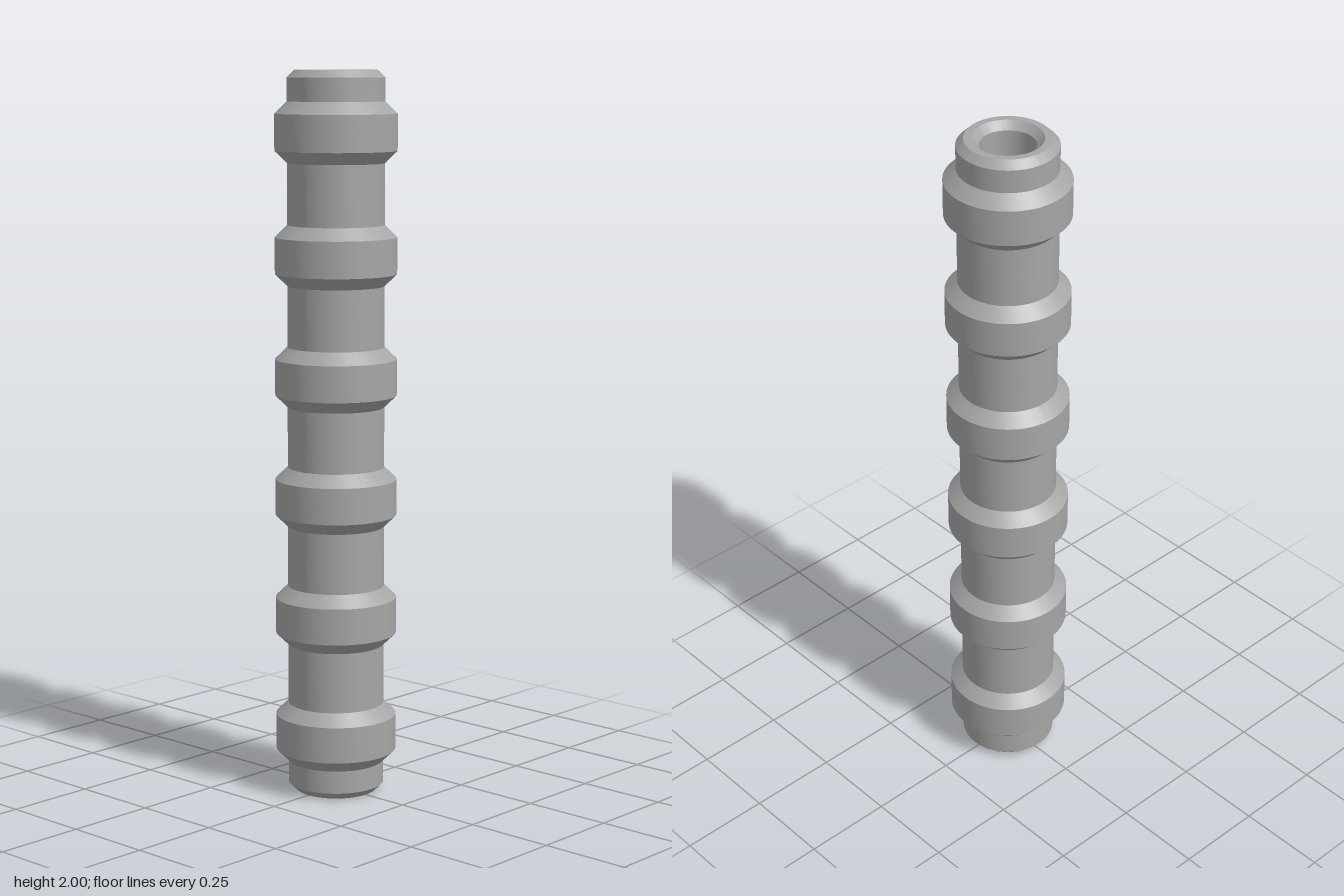
import * as THREE from 'three';
import { toCreasedNormals } from 'three/addons/utils/BufferGeometryUtils.js';

const HEIGHT = 2;
const BODY_R = 0.133;
const RING_R = 0.167;
const BORE_R = 0.0735;
const BEVEL = 0.02;
const RINGS = 6;

// Turned surface with smooth sides and crisp profile corners
function turned(name, profile, material) {
  const points = profile.map(([r, y]) => new THREE.Vector2(r, y));
  const geometry = toCreasedNormals(new THREE.LatheGeometry(points, 96), 0.4);
  const mesh = new THREE.Mesh(geometry, material);
  mesh.name = name;
  return mesh;
}

export function createModel() {
  const group = new THREE.Group();
  group.name = 'ribbedTube';
  const grey = new THREE.MeshStandardMaterial({ color: 0xa6a6a6 });
  grey.name = 'grey';

  // Outer wall, with a bevelled ring at each even step
  const outer = [[BODY_R - BEVEL, 0], [BODY_R, BEVEL]];
  const pitch = HEIGHT / RINGS;
  for (let i = 0; i < RINGS; i++) {
    const y = (i + 0.5) * pitch;
    outer.push(
      [BODY_R, y - 0.083], [RING_R, y - 0.05],
      [RING_R, y + 0.05], [BODY_R, y + 0.083],
    );
  }
  outer.push([BODY_R, HEIGHT - BEVEL], [BODY_R - BEVEL, HEIGHT]);
  group.add(turned('ribbedWall', outer, grey));

  // Flat end rims
  const rimOut = BODY_R - BEVEL;
  const rimIn = BORE_R + BEVEL;
  group.add(turned('topRim', [[rimOut, HEIGHT], [rimIn, HEIGHT]], grey));
  group.add(turned('bottomRim', [[rimIn, 0], [rimOut, 0]], grey));

  // Open bore with countersunk ends
  group.add(turned('bore', [
    [rimIn, HEIGHT], [BORE_R, HEIGHT - BEVEL], [BORE_R, BEVEL], [rimIn, 0],
  ], grey));

  return group;
}
